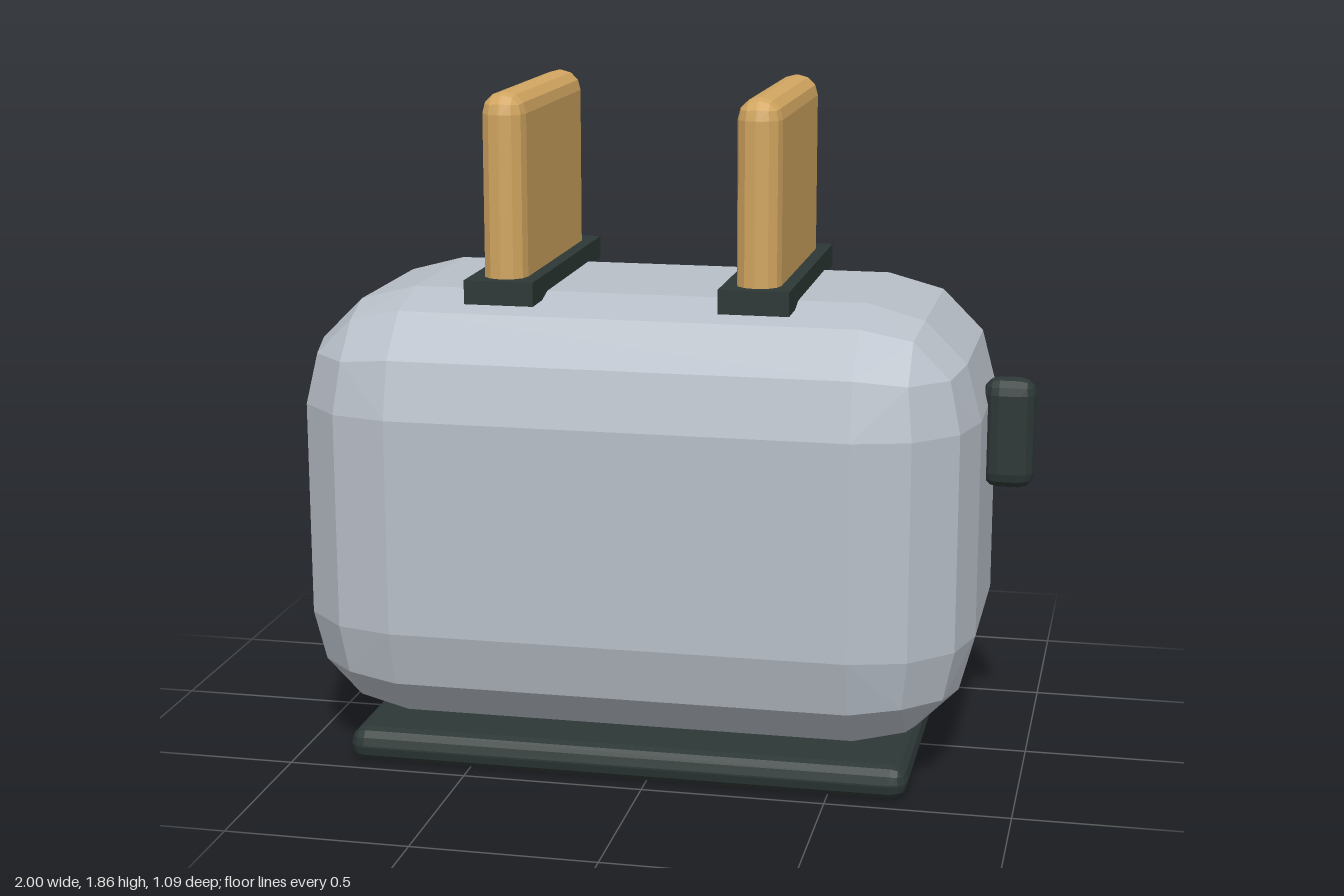
import * as THREE from 'three';
import { ConvexGeometry } from 'three/addons/geometries/ConvexGeometry.js';

// Directions covering one corner octant of a three-step bevel
const C = Math.cos(Math.PI / 6), I = 0.77, J = 0.451;
const CORNER = [
  [1, 0, 0], [0, 1, 0], [0, 0, 1],
  [C, 0.5, 0], [0.5, C, 0], [0, C, 0.5], [0, 0.5, C], [C, 0, 0.5], [0.5, 0, C],
  [I, J, J], [J, I, J], [J, J, I],
];

// Faceted box between two corners, all edges bevelled by r
function bevelledBox(min, max, r) {
  const half = min.map((v, i) => (max[i] - v) / 2);
  const points = [];
  for (const sx of [-1, 1]) for (const sy of [-1, 1]) for (const sz of [-1, 1]) {
    for (const [x, y, z] of CORNER) {
      points.push(new THREE.Vector3(
        sx * (half[0] - r + r * x),
        sy * (half[1] - r + r * y),
        sz * (half[2] - r + r * z)));
    }
  }
  const geometry = new ConvexGeometry(points);
  geometry.translate(...min.map((v, i) => (v + max[i]) / 2));
  return geometry;
}

export function createModel() {
  const metal = new THREE.MeshStandardMaterial({ name: 'brushed grey', color: 0xb8bfc8 });
  const dark = new THREE.MeshStandardMaterial({ name: 'dark plastic', color: 0x2d3836 });
  const bread = new THREE.MeshStandardMaterial({ name: 'toasted bread', color: 0xd2a661 });

  const model = new THREE.Group();
  model.name = 'toaster';
  const add = (name, geometry, material) => {
    const mesh = new THREE.Mesh(geometry, material);
    mesh.name = name;
    model.add(mesh);
    return mesh;
  };

  // Housing, foot plate and side lever
  add('body', bevelledBox([-1, 0.1, -0.545], [0.87, 1.315, 0.545], 0.31), metal);
  add('base', bevelledBox([-0.845, 0, -0.465], [0.715, 0.095, 0.465], 0.045), dark);
  add('lever', bevelledBox([0.855, 0.77, -0.048], [1, 1.08, 0.048], 0.045), dark);

  // Two slots, each holding a slice
  [-0.41, 0.28].forEach((x, i) => {
    const slot = add('slot' + (i + 1), new THREE.BoxGeometry(0.19, 0.065, 0.78), dark);
    slot.position.set(x, 1.332, 0);
    add('toast' + (i + 1), bevelledBox([x - 0.06, 1.28, -0.358], [x + 0.06, 1.86, 0.358], 0.057), bread);
  });

  return model;
}
